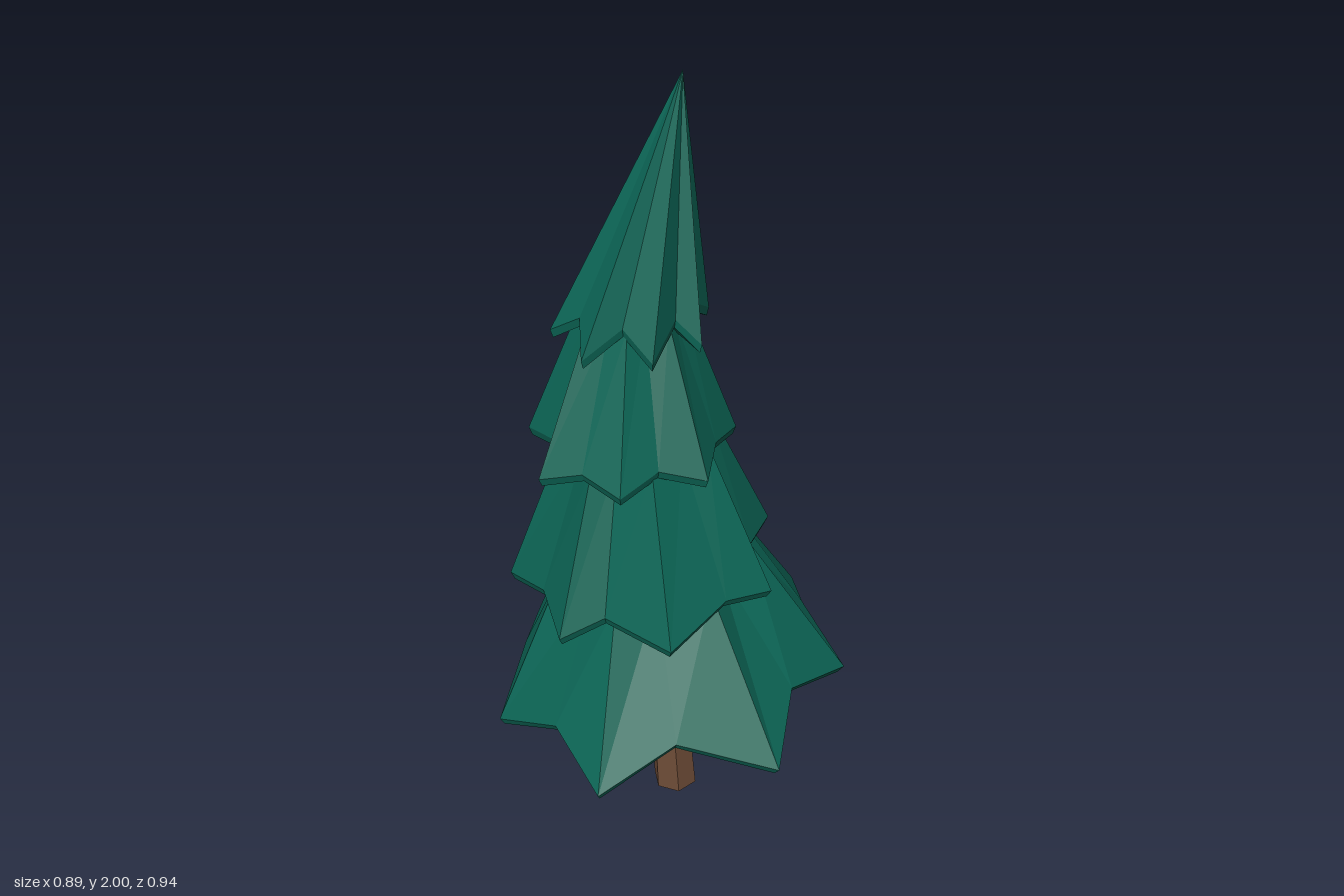
import * as THREE from 'three';

const needles = new THREE.MeshStandardMaterial({ color: 0x0c6656, flatShading: true });
needles.name = 'needleGreen';
const bark = new THREE.MeshStandardMaterial({ color: 0x6f4d38, flatShading: true });
bark.name = 'barkBrown';

// Joins rings of equal length from the bottom up; a ring may collapse to a point.
function loft(rings) {
  const pos = [];
  const tri = (a, b, c) => {
    const n = b.clone().sub(a).cross(c.clone().sub(a));
    if (n.length() > 1e-9) for (const p of [a, b, c]) pos.push(p.x, p.y, p.z);
  };
  for (let r = 0; r < rings.length - 1; r++) {
    const lo = rings[r], hi = rings[r + 1];
    for (let i = 0; i < lo.length; i++) {
      const j = (i + 1) % lo.length;
      tri(lo[j], lo[i], hi[i]);
      tri(lo[j], hi[i], hi[j]);
    }
  }
  const g = new THREE.BufferGeometry();
  g.setAttribute('position', new THREE.Float32BufferAttribute(pos, 3));
  g.computeVertexNormals();
  return g;
}

// Rims as [x, z], clockwise from above; each tip is followed by the notch after it.
const tiers = [
  {
    name: 'bottomBranches', tipY: 0.4, notchY: 0.49, slope: 0.12, centre: [-0.07, 0.01], topY: 0.8, scale: 0.52, underY: 0.51,
    tips: [[0.05, -0.47], [0.405, -0.24], [0.445, 0.16], [0.2, 0.47], [-0.235, 0.43], [-0.445, 0.09], [-0.3, -0.325]],
    notches: [[0.2, -0.295], [0.375, -0.02], [0.27, 0.295], [-0.04, 0.405], [-0.315, 0.255], [-0.355, -0.09], [-0.135, -0.335]],
  },
  {
    name: 'lowerMiddleBranches', tipY: 0.762, notchY: 0.797, slope: 0.13, centre: [-0.08, 0.03], topY: 1.15, scale: 0.52, underY: 0.82,
    tips: [[0.085, -0.32], [0.28, -0.055], [0.22, 0.24], [-0.05, 0.385], [-0.295, 0.255], [-0.385, -0.045], [-0.205, -0.305]],
    notches: [[0.16, -0.145], [0.2, 0.09], [0.1, 0.285], [-0.185, 0.255], [-0.315, 0.1], [-0.27, -0.155], [-0.065, -0.26]],
  },
  {
    name: 'upperMiddleBranches', tipY: 1.12, notchY: 1.15, slope: 0.05, centre: [-0.07, 0.02], topY: 1.47, scale: 0.46, underY: 1.17,
    tips: [[0.06, -0.175], [0.17, 0.025], [0.06, 0.24], [-0.145, 0.265], [-0.315, 0.14], [-0.315, -0.095], [-0.135, -0.23]],
    notches: [[0.09, -0.06], [0.1, 0.13], [-0.05, 0.22], [-0.22, 0.19], [-0.27, 0.02], [-0.21, -0.12], [-0.05, -0.16]],
  },
  {
    name: 'crown', tipY: 1.418, notchY: 1.475, slope: 0.04, centre: [-0.06, 0.02], topY: 2, apex: [0.035, 0.025], underY: 1.48,
    tips: [[0.015, -0.15], [0.11, -0.03], [0.06, 0.145], [-0.06, 0.205], [-0.21, 0.155], [-0.26, -0.01], [-0.145, -0.145]],
    notches: [[0.05, -0.08], [0.06, 0.05], [0.005, 0.12], [-0.115, 0.135], [-0.2, 0.06], [-0.17, -0.08], [-0.055, -0.12]],
  },
];

function branchTier(t) {
  const [cx, cz] = t.centre;
  const rim = t.tips.flatMap((tip, i) => [
    new THREE.Vector3(tip[0], t.tipY + t.slope * tip[0], tip[1]),
    new THREE.Vector3(t.notches[i][0], t.notchY + t.slope * t.notches[i][0], t.notches[i][1]),
  ]);
  const scaled = (s, height) => rim.map(p =>
    new THREE.Vector3(cx + (p.x - cx) * s, height(p), cz + (p.z - cz) * s));
  const point = (x, y, z) => rim.map(() => new THREE.Vector3(x, y, z));

  // Shallow underside, thin lip and sloping needles
  const rings = [point(cx, t.underY, cz), scaled(0.97, p => p.y - 0.02), rim];
  if (t.apex) {
    rings.push(point(t.apex[0], t.topY, t.apex[1]));
  } else {
    rings.push(scaled(t.scale, p => t.topY + t.slope * p.x * t.scale), point(cx, t.topY, cz));
  }
  const mesh = new THREE.Mesh(loft(rings), needles);
  mesh.name = t.name;
  return mesh;
}

export function createModel() {
  const tree = new THREE.Group();
  tree.name = 'pineTree';

  // Leaning, tapered hexagonal trunk
  const height = 0.54;
  const trunkGeo = new THREE.CylinderGeometry(0.043, 0.06, height, 6);
  trunkGeo.translate(0, height / 2, 0);
  const p = trunkGeo.attributes.position;
  for (let i = 0; i < p.count; i++) p.setX(i, p.getX(i) + 0.027 - 0.06 * p.getY(i));
  trunkGeo.translate(0, 0, 0.024);
  trunkGeo.computeVertexNormals();
  const trunk = new THREE.Mesh(trunkGeo, bark);
  trunk.name = 'trunk';
  tree.add(trunk);

  // Overlapping skirts of branches
  for (const t of tiers) tree.add(branchTier(t));
  return tree;
}
